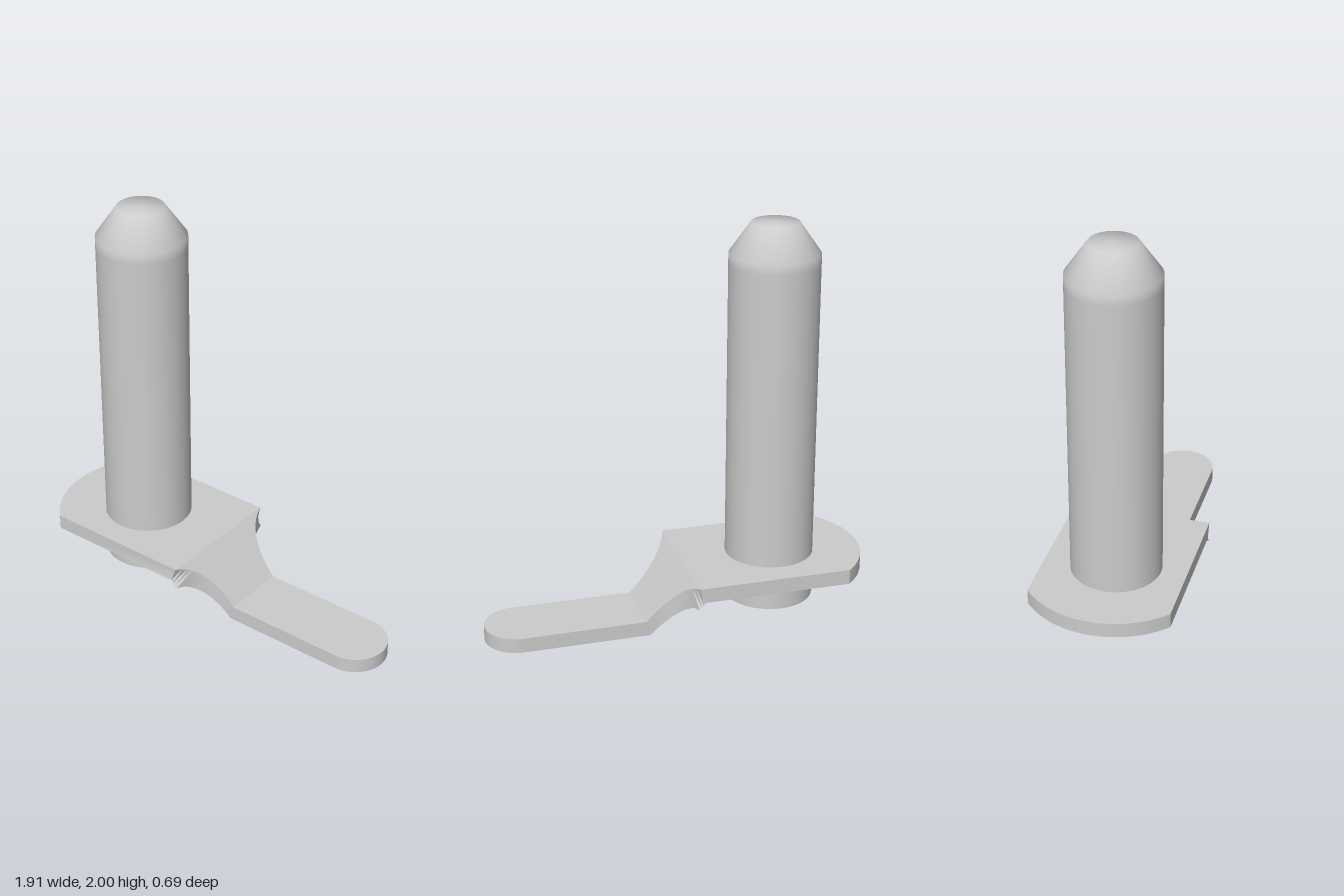
import * as THREE from 'three';
import { toCreasedNormals } from 'three/addons/utils/BufferGeometryUtils.js';

const HALF = 0.345, TAB = 0.165, T = 0.075;

// Half width of the bracket outline at a given x
function halfWidth(x) {
  let w;
  if (x < -0.5) w = Math.min(HALF, Math.sqrt(Math.max(0, 0.46 ** 2 - (x + 0.5) ** 2)));
  else if (x < -0.035) w = HALF;
  else if (x < 0.17) w = 0.375 - Math.sqrt(0.21 ** 2 - (x - 0.17) ** 2);
  else if (x < 0.79) w = TAB;
  else w = Math.sqrt(Math.max(0, TAB ** 2 - (x - 0.79) ** 2));
  return Math.max(w, 0.002);
}

// Bent plate: rectangular cross-sections swept along x
function bracketGeometry() {
  const stations = []; // [top x, top y, bottom x, bottom y]
  const flat = (x, y) => stations.push([x, y + T, x, y]);
  const N = 20;
  // rounded outer end of the plate
  const a = Math.asin(HALF / 0.46);
  for (let i = 0; i <= N; i++) flat(-0.5 - 0.46 * Math.cos(a * i / N), 0.235);
  // sloping web between the two bends
  for (let i = 0; i <= N; i++) {
    const t = i / N;
    stations.push([-0.04 + 0.22 * t, 0.31 - 0.235 * t, -0.07 + 0.23 * t, 0.235 * (1 - t)]);
  }
  // tab with a semicircular end
  for (let i = 0; i <= N; i++) flat(0.79 + TAB * Math.sin(Math.PI / 2 * i / N), 0);

  const pos = [], idx = [];
  for (const [tx, ty, bx, by] of stations) {
    const tw = halfWidth(tx), bw = halfWidth(bx);
    pos.push(tx, ty, tw, tx, ty, -tw, bx, by, -bw, bx, by, bw);
  }
  const last = (stations.length - 1) * 4;
  for (let s = 0; s < last; s += 4) {
    for (let i = 0; i < 4; i++) {
      const j = (i + 1) % 4;
      idx.push(s + i, s + 4 + i, s + 4 + j, s + i, s + 4 + j, s + j);
    }
  }
  idx.push(0, 1, 2, 0, 2, 3, last, last + 2, last + 1, last, last + 3, last + 2);
  const g = new THREE.BufferGeometry();
  g.setAttribute('position', new THREE.Float32BufferAttribute(pos, 3));
  g.setIndex(idx);
  return toCreasedNormals(g, 0.5);
}

export function createModel() {
  const group = new THREE.Group();
  const material = new THREE.MeshStandardMaterial({ color: 0xcccccc });

  const bracket = new THREE.Mesh(bracketGeometry(), material);
  bracket.name = 'bentBracket';

  // Round pin with a softly shaded tapered tip
  const profile = [[0, 0.08], [0.22, 0.08], [0.22, 1.8], [0.22, 1.85], [0.115, 2], [0, 2]]
    .map(([r, y]) => new THREE.Vector2(r, y));
  const pin = new THREE.Mesh(toCreasedNormals(new THREE.LatheGeometry(profile, 64), 1.0), material);
  pin.name = 'pin';
  pin.position.x = -0.5;

  group.add(bracket, pin);
  return group;
}
